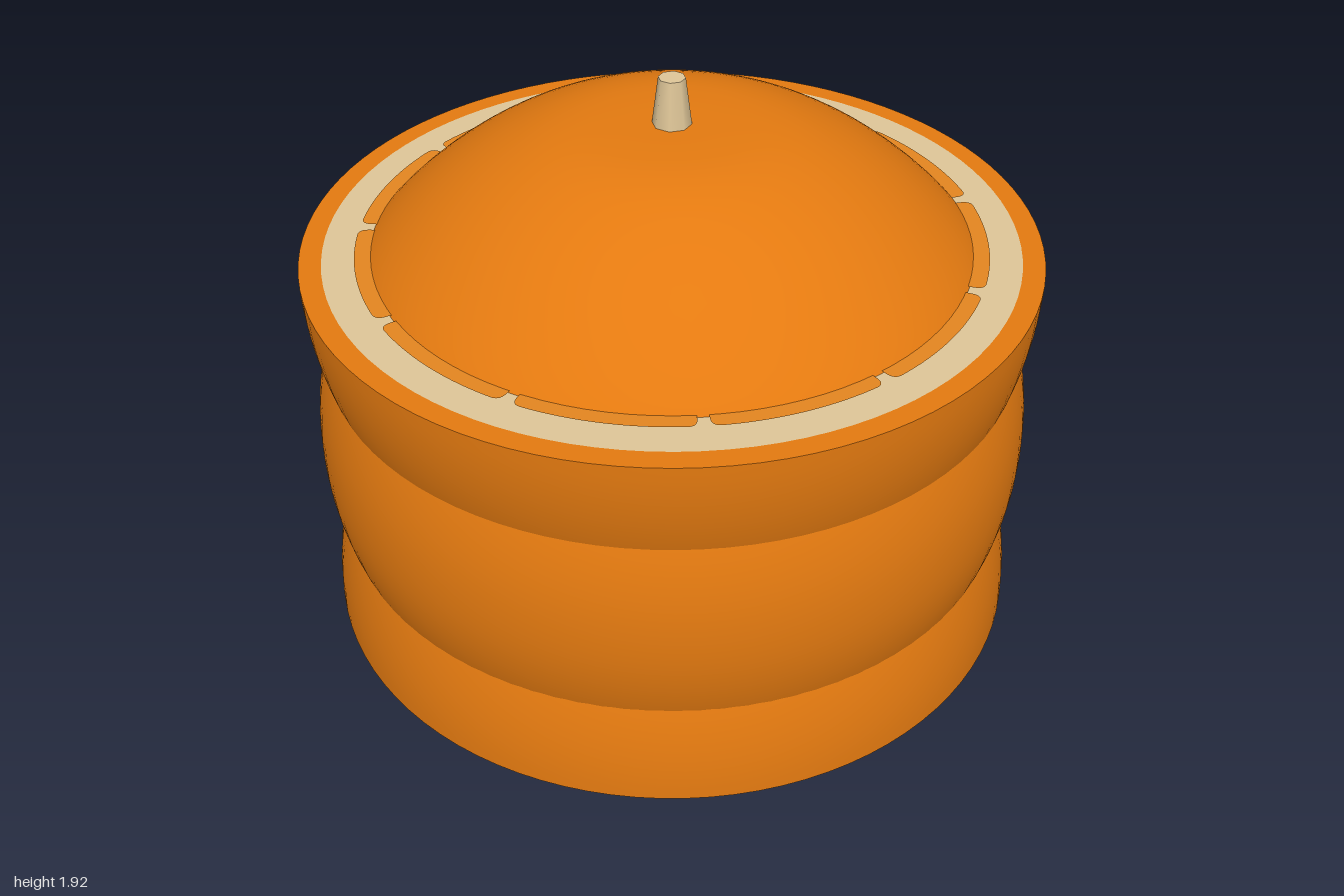
import * as THREE from 'three';

const peel = new THREE.MeshStandardMaterial({ color: 0xe47a10 });
peel.name = 'orange peel';
const pith = new THREE.MeshStandardMaterial({ color: 0xdfc698 });
pith.name = 'cream pith';
const flesh = new THREE.MeshStandardMaterial({ color: 0xe48620 });
flesh.name = 'orange flesh';

const SEGMENTS = 11;

function addMesh(parent, name, geometry, material) {
  const mesh = new THREE.Mesh(geometry, material);
  mesh.name = name;
  parent.add(mesh);
  return mesh;
}

// Flat ring facing +y
function flatRing(inner, outer, y) {
  return new THREE.RingGeometry(inner, outer, 96).rotateX(-Math.PI / 2).translate(0, y, 0);
}

// Outer end of one fruit segment, with rounded corners
function segmentPlate(angle) {
  const inner = 0.75, outer = 0.853, r = 0.03;
  const half = Math.PI / SEGMENTS - 0.018;
  const at = (radius, a) => [radius * Math.cos(a), radius * Math.sin(a)];
  const shape = new THREE.Shape();
  shape.moveTo(...at(inner, -half));
  shape.lineTo(...at(outer - r, -half));
  shape.quadraticCurveTo(...at(outer, -half), ...at(outer, -half + r));
  shape.absarc(0, 0, outer, -half + r, half - r, false);
  shape.quadraticCurveTo(...at(outer, half), ...at(outer - r, half));
  shape.lineTo(...at(inner, half));
  shape.absarc(0, 0, inner, half, -half, true);
  return new THREE.ShapeGeometry(shape, 12)
    .rotateX(-Math.PI / 2).rotateY(angle).translate(0, 0.004, 0);
}

// Half fruit: curved peel below a cut face at local y = 0
function halfFruit(name) {
  const half = new THREE.Group();
  half.name = name;
  const wall = [];
  for (let i = 10; i >= 0; i--) {
    const y = -0.036 * i;
    wall.push(new THREE.Vector2(Math.sqrt(1 - y * y), y));
  }
  addMesh(half, 'halfPeel', new THREE.LatheGeometry(wall, 96), peel);
  addMesh(half, 'cutPeelRim', flatRing(0.94, 1, 0), peel);
  addMesh(half, 'pithRing', flatRing(0.72, 0.94, 0), pith);
  for (let i = 0; i < SEGMENTS; i++) {
    addMesh(half, 'fleshSegment', segmentPlate((i + 0.5) * 2 * Math.PI / SEGMENTS), flesh);
  }
  return half;
}

export function createModel() {
  const model = new THREE.Group();
  model.name = 'fruit';

  // Whole fruit in the middle, slightly flattened at both poles
  const upper = [
    [1, 0], [0.99, 0.14], [0.957, 0.28], [0.9, 0.42], [0.815, 0.55], [0.68, 0.68],
    [0.54, 0.78], [0.4, 0.85], [0.28, 0.885], [0.15, 0.896], [0, 0.897],
  ].map(([x, y]) => new THREE.Vector2(x, y));
  const lower = upper.slice(1).reverse().map((p) => new THREE.Vector2(p.x, -p.y));
  const profile = new THREE.SplineCurve([...lower, ...upper]).getPoints(80);
  profile.forEach((p) => { p.x = Math.max(0, p.x); });
  addMesh(model, 'wholeFruit', new THREE.LatheGeometry(profile, 96), peel).position.y = 0.903;

  // Cut halves around the top and bottom
  const top = halfFruit('upperHalf');
  top.position.y = 1.455;
  const bottom = halfFruit('lowerHalf');
  bottom.position.y = 0.342;
  bottom.rotation.set(Math.PI, -0.095, 0);
  model.add(top, bottom);

  // Stem
  addMesh(model, 'stem', new THREE.CylinderGeometry(0.036, 0.054, 0.14, 8), pith).position.y = 1.86;

  return model;
}
